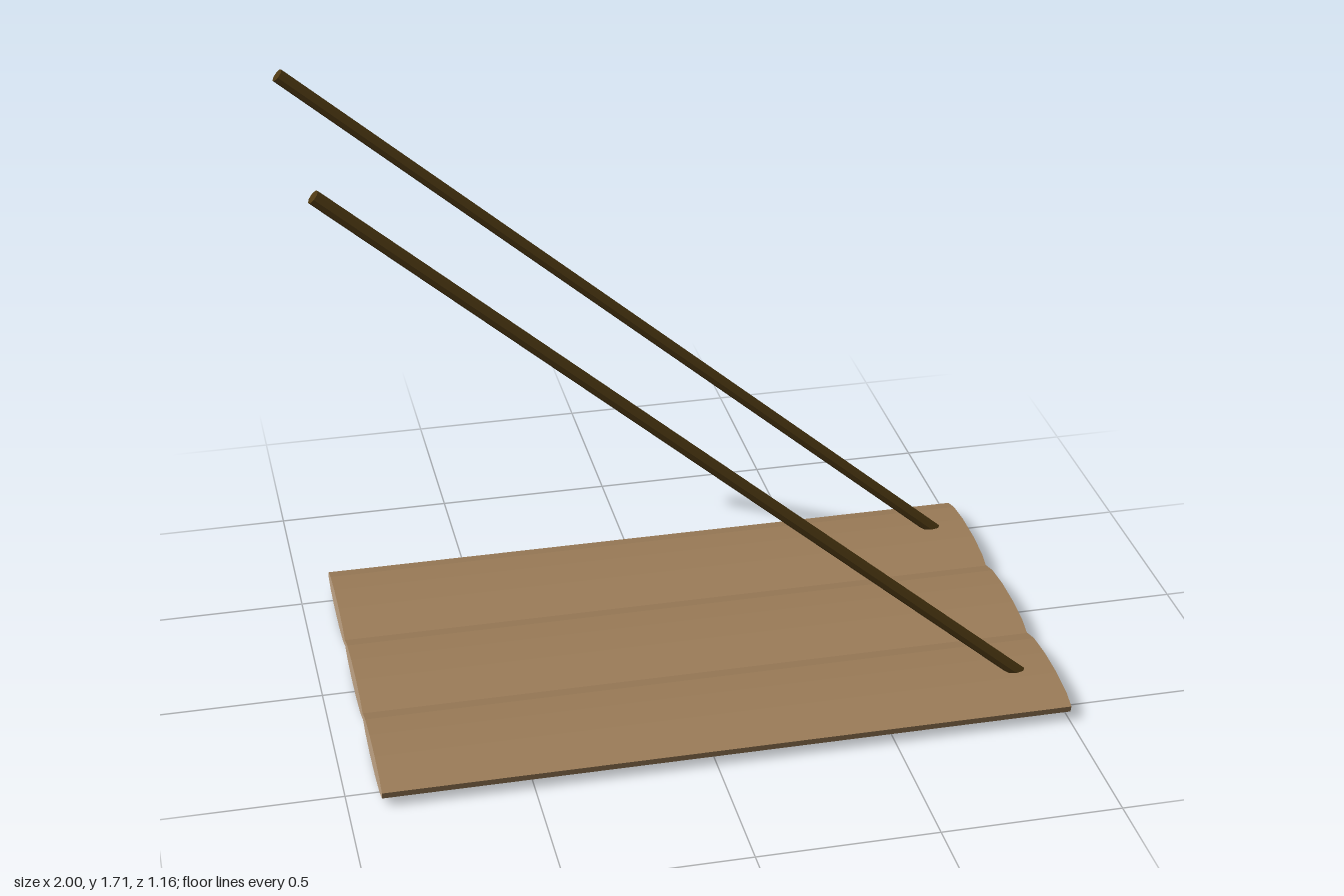
import * as THREE from 'three';

const makeMaterial = (name, color) => {
  const m = new THREE.MeshStandardMaterial({ color, flatShading: true });
  m.name = name;
  return m;
};

// Round bar between two points
function rod(from, to, radius, material) {
  const dir = new THREE.Vector3().subVectors(to, from);
  const mesh = new THREE.Mesh(new THREE.CylinderGeometry(radius, radius, dir.length(), 8), material);
  mesh.position.copy(from).add(to).multiplyScalar(0.5);
  mesh.quaternion.setFromUnitVectors(new THREE.Vector3(0, 1, 0), dir.normalize());
  return mesh;
}

export function createModel() {
  const plankWood = makeMaterial('plankWood', 0x9b7c58);
  const cutWood = makeMaterial('cutWood', 0xc0a384);
  const darkWood = makeMaterial('darkWood', 0x4d3812);
  const model = new THREE.Group();
  model.name = 'plankPlatform';

  // Three flattened twelve-sided logs lying side by side along x
  const logGeometry = new THREE.CylinderGeometry(1, 1, 1.91, 12, 1, false, THREE.MathUtils.degToRad(-12));
  logGeometry.rotateZ(-Math.PI / 2);
  logGeometry.scale(1, 0.038, 0.199);
  ['back', 'middle', 'front'].forEach((side, i) => {
    const log = new THREE.Mesh(logGeometry, [plankWood, cutWood, cutWood]);
    log.name = side + 'Plank';
    log.position.set(0.045, 0.042, (i - 1) * 0.385);
    model.add(log);
  });

  // Slanted poles rising from the outer planks
  [['front', 0.407], ['back', -0.406]].forEach(([side, z]) => {
    const pole = rod(new THREE.Vector3(0.963, 0.015, z), new THREE.Vector3(-0.984, 1.70, z), 0.0195, darkWood);
    pole.name = side + 'Pole';
    model.add(pole);
  });
  return model;
}
